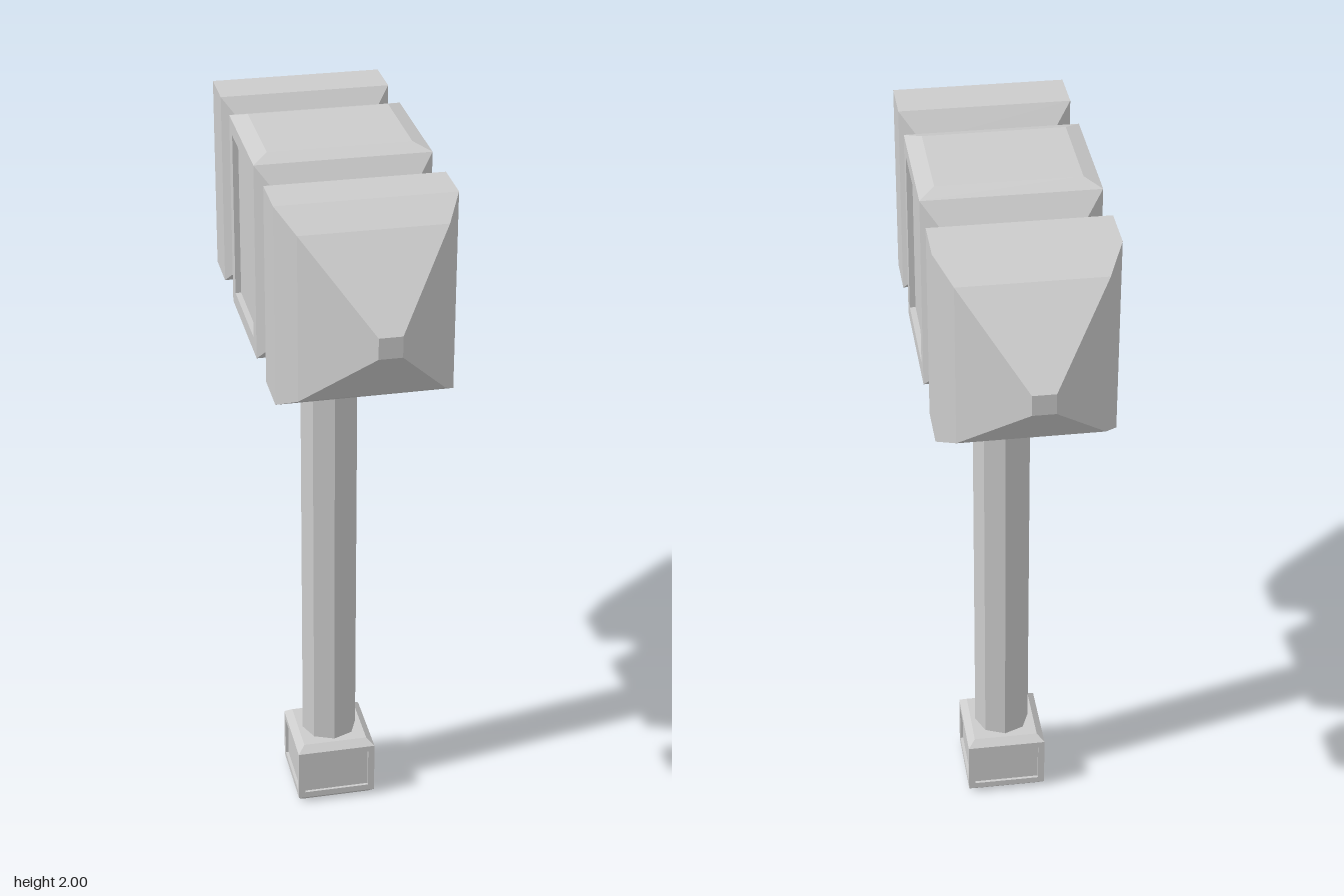
import * as THREE from 'three';

const material = new THREE.MeshStandardMaterial({ color: 0xcccccc, flatShading: true });

// Adds a quad, or a frame around a sunken panel when an inset is given
function addFace(out, [a, b, c, d], inset) {
  const quad = (p, q, r, s) => [p, q, r, p, r, s].forEach((v) => out.push(v.x, v.y, v.z));
  if (!inset) return quad(a, b, c, d);
  const u = b.clone().sub(a).normalize();
  const v = d.clone().sub(a).normalize();
  const n = u.clone().cross(v);
  const outer = [a, b, c, d];
  const signs = [[1, 1], [-1, 1], [-1, -1], [1, -1]];
  const rim = outer.map((p, i) => p.clone()
    .addScaledVector(u, signs[i][0] * inset.margin)
    .addScaledVector(v, signs[i][1] * inset.margin));
  const floor = rim.map((p) => p.clone().addScaledVector(n, -inset.depth));
  for (let i = 0; i < 4; i++) {
    const j = (i + 1) % 4;
    quad(outer[i], outer[j], rim[j], rim[i]);
    quad(rim[i], rim[j], floor[j], floor[i]);
  }
  quad(...floor);
}

// Joins rectangular sections [z, halfX, halfY] along z;
// insetFor(segment, side) may return a panel inset (sides: +x, +y, -x, -y)
function loft(sections, insetFor = () => null) {
  const out = [];
  const rings = sections.map(([z, hx, hy]) =>
    [[1, -1], [1, 1], [-1, 1], [-1, -1]].map(([sx, sy]) => new THREE.Vector3(sx * hx, sy * hy, z)));
  for (let i = 0; i < rings.length - 1; i++) {
    for (let k = 0; k < 4; k++) {
      const m = (k + 1) % 4;
      addFace(out, [rings[i][k], rings[i][m], rings[i + 1][m], rings[i + 1][k]], insetFor(i, k));
    }
  }
  addFace(out, rings[rings.length - 1]);
  addFace(out, [...rings[0]].reverse());
  const geometry = new THREE.BufferGeometry();
  geometry.setAttribute('position', new THREE.Float32BufferAttribute(out, 3));
  geometry.computeVertexNormals();
  return geometry;
}

export function createModel() {
  const group = new THREE.Group();
  const add = (name, geometry, y) => {
    const mesh = new THREE.Mesh(geometry, material);
    mesh.name = name;
    mesh.position.y = y;
    group.add(mesh);
  };

  // Head: centre block, two necks and two pointed ends
  const half = [
    [0.176, 0.223, 0.26], [0.224, 0.17, 0.195], [0.26, 0.17, 0.195], [0.309, 0.223, 0.26],
    [0.435, 0.223, 0.26], [0.515, 0.182, 0.215], [0.703, 0.029, 0.027],
  ];
  const sections = [...half.map(([z, x, y]) => [-z, x, y]).reverse(), ...half];
  const centre = half.length - 1;
  add('hammerHead', loft(sections, (i, k) =>
    (i === centre && k % 2 === 0 ? { margin: 0.04, depth: 0.015 } : null)), 1.725);

  // Bevelled cap on the centre block
  add('headCap', loft([[0, 0.223, 0.176], [0.015, 0.182, 0.133]]).rotateX(-Math.PI / 2), 1.985);

  // Eight-sided handle
  add('handle', new THREE.CylinderGeometry(0.077, 0.077, 1.31, 8), 0.825);

  // Pommel with a sunken panel on each side
  add('pommel', loft(
    [[0, 0.095, 0.095], [0.015, 0.11, 0.11], [0.167, 0.11, 0.11], [0.185, 0.09, 0.09]],
    (i) => (i === 1 ? { margin: 0.018, depth: 0.008 } : null),
  ).rotateX(-Math.PI / 2), 0);

  return group;
}
